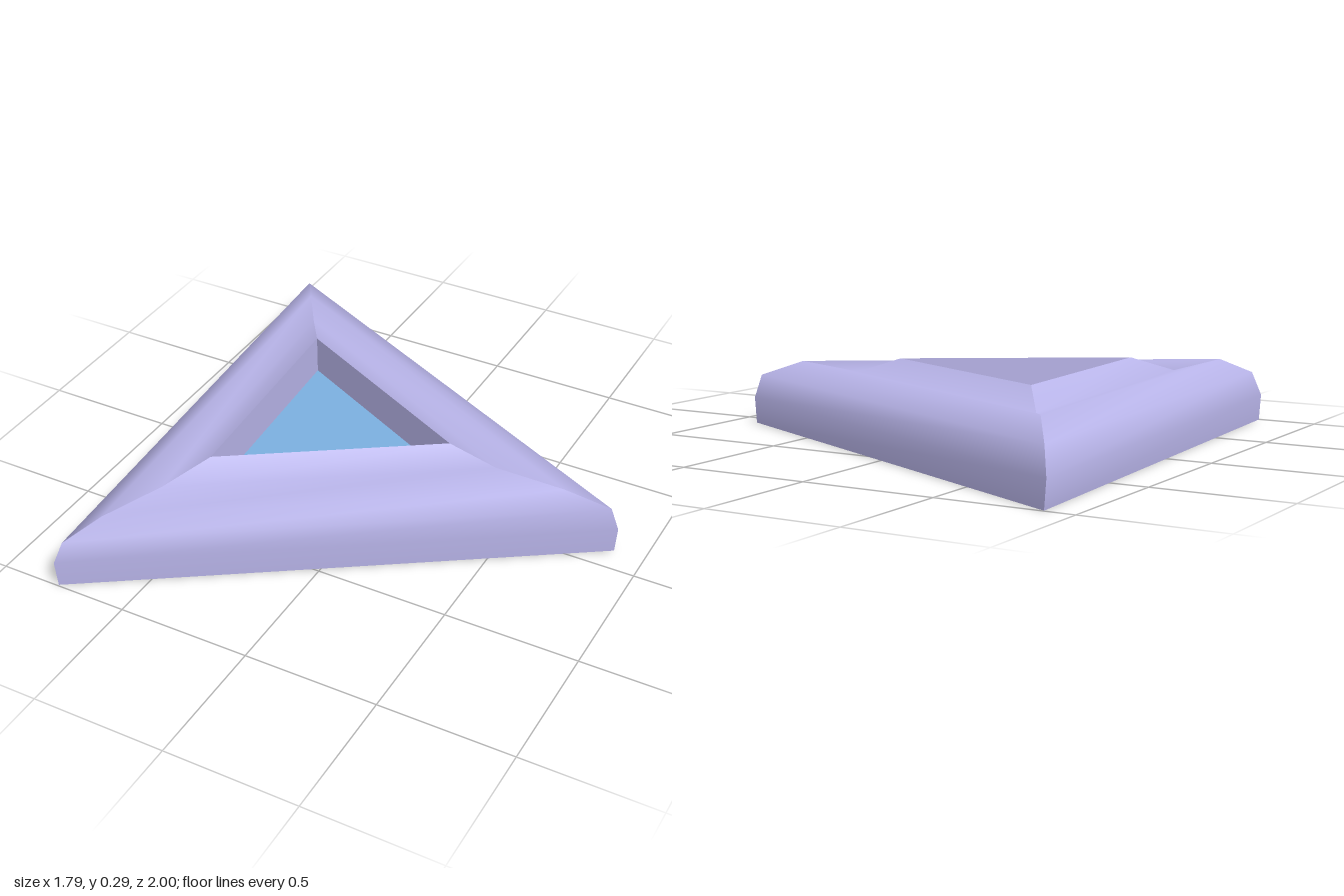
import * as THREE from 'three';

// Triangular rings from bottom to opening: height, then [x, z] of back, right-hand point and front corners
const RINGS = [
  { y: 0.0, c: [[-0.89, -0.995], [0.885, -0.1], [-0.772, 0.995]] },
  { y: 0.1, c: [[-0.9, -1.0], [0.893, -0.1], [-0.777, 1.0]] },
  { y: 0.19, c: [[-0.86, -0.94], [0.865, -0.09], [-0.745, 0.98]] },
  { y: 0.25, c: [[-0.75, -0.765], [0.7, -0.042], [-0.66, 0.855]] },
  { y: 0.23, c: [[-0.66, -0.63], [0.42, -0.07], [-0.585, 0.59]] },
  { y: 0.29, c: [[-0.535, -0.44], [0.24, -0.052], [-0.482, 0.425]] },
];
const FLOOR_Y = 0.14;

// One side of the triangle, lofted through the rings; smooth along the profile, sharp at the corners
function sideStrip(rings, i) {
  const pos = [], index = [];
  const j = (i + 1) % 3;
  rings.forEach(({ y, c }, k) => {
    pos.push(c[i][0], y, c[i][1], c[j][0], y, c[j][1]);
    if (k > 0) {
      const a = 2 * k - 2, b = a + 1, a2 = 2 * k, b2 = a2 + 1;
      index.push(b, a, a2, b, a2, b2);
    }
  });
  return finish(pos, index);
}

// Flat triangle closing a ring
function cap({ c }, y, up) {
  const pos = c.flatMap(([x, z]) => [x, y, z]);
  return finish(pos, up ? [0, 2, 1] : [0, 1, 2]);
}

function finish(pos, index) {
  const g = new THREE.BufferGeometry();
  g.setAttribute('position', new THREE.Float32BufferAttribute(pos, 3));
  g.setIndex(index);
  g.computeVertexNormals();
  return g;
}

export function createModel() {
  const model = new THREE.Group();
  model.name = 'triangularFrame';
  const frame = new THREE.MeshStandardMaterial({ color: 0xb9b5ea });
  const blue = new THREE.MeshStandardMaterial({ color: 0x7cb0e0 });
  const add = (name, geometry, material) => {
    const mesh = new THREE.Mesh(geometry, material);
    mesh.name = name;
    model.add(mesh);
  };

  // Frame sides and the upright walls of the recess
  const opening = RINGS[RINGS.length - 1];
  const recess = [opening, { y: FLOOR_Y, c: opening.c }];
  ['back', 'front', 'left-hand'].forEach((side, i) => {
    add(`${side} frame side`, sideStrip(RINGS, i), frame);
    add(`${side} recess wall`, sideStrip(recess, i), frame);
  });

  // Underside and the coloured panel in the recess
  add('underside', cap(RINGS[0], 0, false), frame);
  add('panel', cap(opening, FLOOR_Y, true), blue);
  return model;
}
